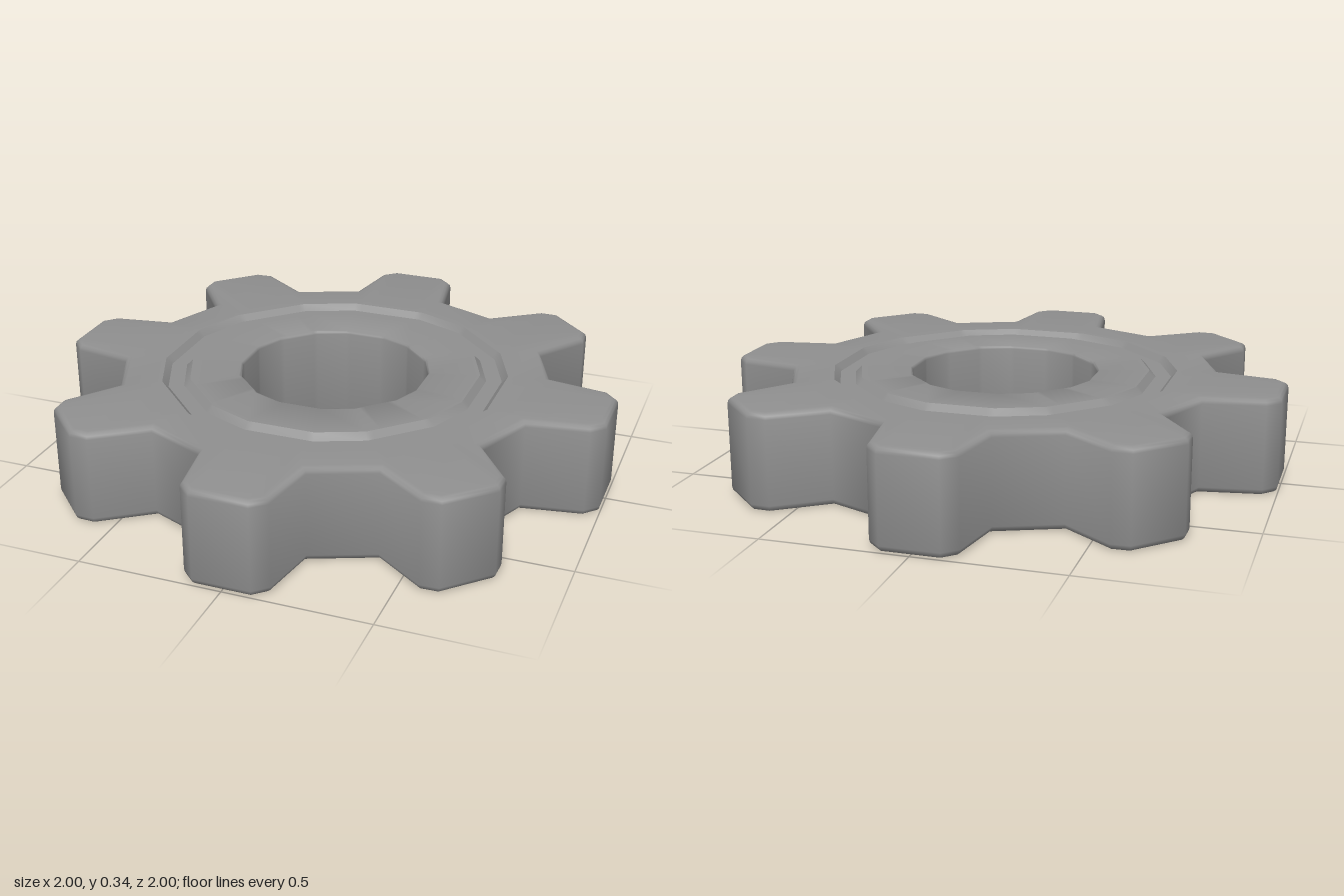
import * as THREE from 'three';
import { toCreasedNormals } from 'three/addons/utils/BufferGeometryUtils.js';

const TEETH = 8, H = 0.338, DEPTH = 0.022;
const HALF = THREE.MathUtils.degToRad(13.1); // half the angle a tooth root covers

// repeats a six-point tooth section (x, distance from axis) around the axis
function around(section) {
  const loop = [];
  for (let i = 0; i < TEETH; i++) {
    const a = (i / TEETH) * Math.PI * 2, c = Math.cos(a), s = Math.sin(a);
    for (const [x, r] of section) loop.push([x * c + r * s, r * c - x * s]);
  }
  return loop;
}

// sixteen-sided ring whose corners line up with the tooth roots
const ring = (r) => around([-1, -0.8, -0.55, 0.55, 0.8, 1].map(
  (t) => [t * r * Math.sin(HALF), r * Math.cos(HALF)]));

const outline = around([
  [-0.183, 0.743], [-0.148, 0.953], [-0.1, 0.998],
  [0.1, 0.998], [0.148, 0.953], [0.183, 0.743]]);

// moves every edge of a loop inwards by d
function inset(loop, d) {
  const n = loop.length;
  const normal = (p, q) => {
    const l = Math.hypot(q[0] - p[0], q[1] - p[1]);
    return [-(q[1] - p[1]) / l, (q[0] - p[0]) / l];
  };
  return loop.map((p, i) => {
    const a = normal(loop[(i + n - 1) % n], p), b = normal(p, loop[(i + 1) % n]);
    const k = d / (1 + a[0] * b[0] + a[1] * b[1]);
    return [p[0] - k * (a[0] + b[0]), p[1] - k * (a[1] + b[1])];
  });
}

// skins a list of [loop, height] cross-sections
function skin(levels, crease) {
  const pos = [];
  for (let l = 0; l + 1 < levels.length; l++) {
    const [A, ya] = levels[l], [B, yb] = levels[l + 1];
    for (let k = 0; k < A.length; k++) {
      const m = (k + 1) % A.length;
      const a = [A[k][0], ya, A[k][1]], b = [B[k][0], yb, B[k][1]];
      const c = [B[m][0], yb, B[m][1]], d = [A[m][0], ya, A[m][1]];
      pos.push(...a, ...b, ...c, ...a, ...c, ...d);
    }
  }
  const g = new THREE.BufferGeometry();
  g.setAttribute('position', new THREE.Float32BufferAttribute(pos, 3));
  g.computeVertexNormals();
  return toCreasedNormals(g, crease);
}

export function createModel() {
  const group = new THREE.Group();
  const metal = new THREE.MeshStandardMaterial({ color: 0x8f8f8f });
  metal.name = 'grey metal';
  const add = (name, levels, crease) => {
    const mesh = new THREE.Mesh(skin(levels, crease), metal);
    mesh.name = name;
    group.add(mesh);
  };

  // rounded edge: [inset, drop] from the flat face to the wall
  const round = (b) => [0, 1, 2, 3].map((i) => {
    const a = (i / 3) * Math.PI / 2;
    return [b * (1 - Math.sin(a)), b * (1 - Math.cos(a))];
  });

  // toothed rim, from the top groove over the teeth to the bottom groove
  const rimTop = round(0.022).map(([d, y]) => [inset(outline, d), H - y]);
  const rimBottom = rimTop.map(([loop, y]) => [loop, H - y]).reverse();
  add('toothedRim', [[ring(0.616), H], ...rimTop, ...rimBottom, [ring(0.616), 0]], 1.1);

  // hub with the centre hole, from the bottom groove up to the top groove
  const holeTop = round(0.012).map(([d, y]) => [ring(0.334 + d), H - y]).reverse();
  const holeBottom = holeTop.map(([loop, y]) => [loop, H - y]).reverse();
  add('hub', [[ring(0.518), 0], ...holeBottom, ...holeTop, [ring(0.518), H]], 0.8);

  // shallow grooves with sloping walls on both faces
  const groove = [[0.518, 0], [0.54, DEPTH], [0.595, DEPTH], [0.616, 0]];
  add('topGroove', groove.map(([r, y]) => [ring(r), H - y]), 0.5);
  add('bottomGroove', groove.map(([r, y]) => [ring(r), y]).reverse(), 0.5);

  return group;
}
